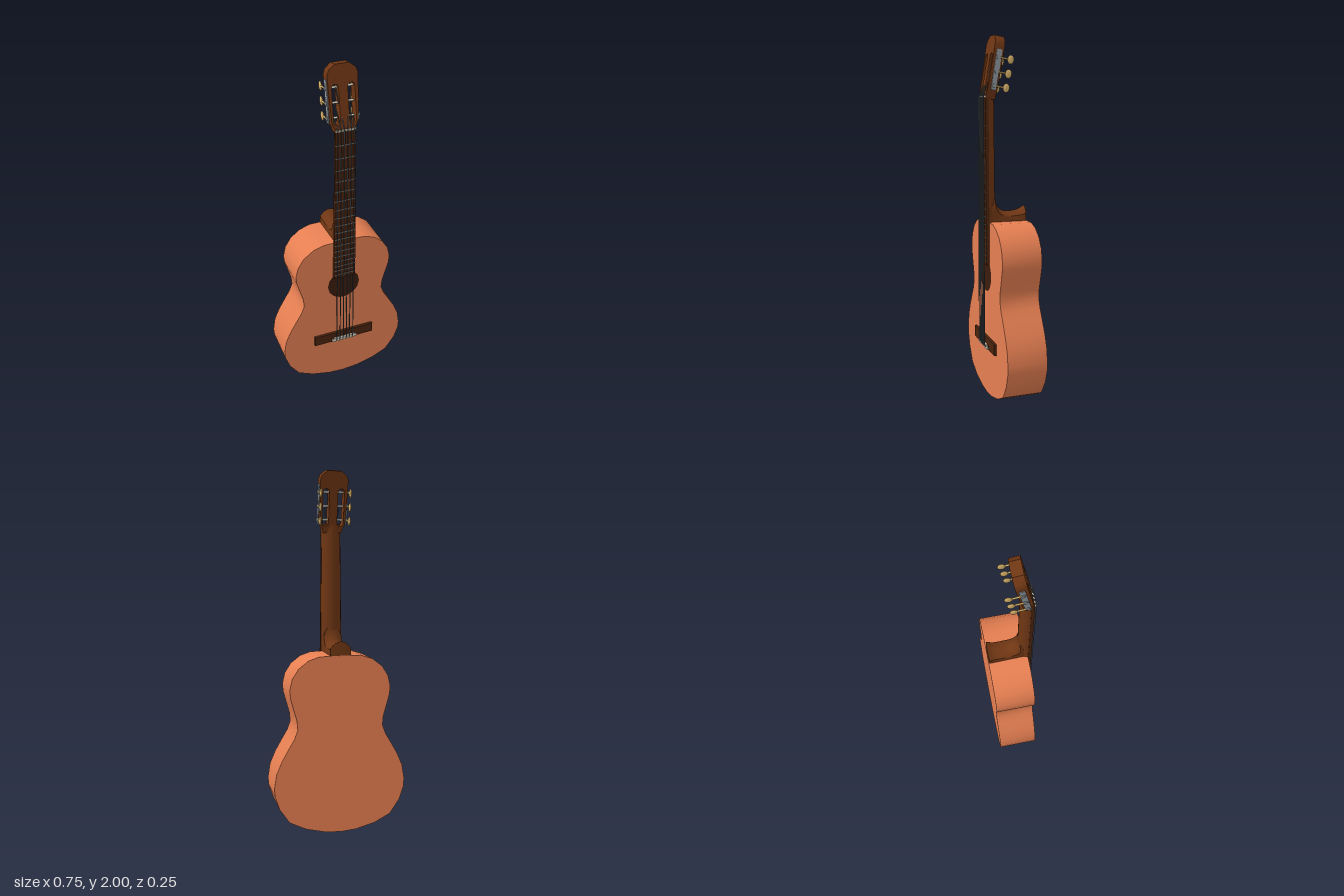
import * as THREE from 'three';
import { toCreasedNormals } from 'three/addons/utils/BufferGeometryUtils.js';

const paint = (color) => new THREE.MeshStandardMaterial({ color });
const V = (x, y, z) => new THREE.Vector3(x, y, z);

function add(parent, name, geometry, material, x = 0, y = 0, z = 0) {
  const mesh = new THREE.Mesh(geometry, material);
  mesh.name = name;
  mesh.position.set(x, y, z);
  parent.add(mesh);
  return mesh;
}

// Thin cylinder between two points
function rod(parent, name, a, b, radius, material, sides = 6) {
  const dir = b.clone().sub(a);
  const mesh = add(parent, name, new THREE.CylinderGeometry(radius, radius, dir.length(), sides), material);
  mesh.position.copy(a).add(b).multiplyScalar(0.5);
  mesh.quaternion.setFromUnitVectors(V(0, 1, 0), dir.normalize());
  return mesh;
}

// Shape symmetric about x = 0 from its right half, listed bottom to top
function mirroredShape(half) {
  const left = half.filter((p) => p[0] > 0).reverse().map(([x, y]) => [-x, y]);
  return new THREE.Shape([...half, ...left].map(([x, y]) => new THREE.Vector2(x, y)));
}

function slab(shape, depth, crease = 0.6) {
  return toCreasedNormals(new THREE.ExtrudeGeometry(shape, { depth, bevelEnabled: false, curveSegments: 6 }), crease);
}

export function createModel() {
  const guitar = new THREE.Group();
  guitar.name = 'guitar';
  const orange = paint(0xe67f52), brown = paint(0x6f3614), dark = paint(0x4a230d);
  const steel = paint(0x8f969c), wire = paint(0x555a60), ivory = paint(0xd8d4c0), gold = paint(0xd9b36a);

  // Body
  const outline = mirroredShape([
    [0, 0], [0.09, 0.007], [0.2, 0.035], [0.29, 0.08], [0.345, 0.16], [0.37, 0.235], [0.373, 0.28],
    [0.36, 0.36], [0.33, 0.43], [0.29, 0.5], [0.26, 0.55], [0.241, 0.6], [0.245, 0.65], [0.265, 0.72],
    [0.28, 0.775], [0.284, 0.82], [0.27, 0.88], [0.235, 0.935], [0.18, 0.977], [0.12, 0.997], [0, 1]]);
  add(guitar, 'body', slab(outline, 0.223), orange, 0, 0, -0.128);
  add(guitar, 'soundHole', new THREE.CircleGeometry(0.096, 14), paint(0x3a1c0c), 0, 0.697, 0.0965);

  // Bridge: two wings, a tie block and a saddle
  for (const s of [-1, 1]) {
    add(guitar, 'bridgeWing', new THREE.BoxGeometry(0.107, 0.064, 0.014), dark, s * 0.1315, 0.312, 0.102);
  }
  add(guitar, 'bridgeBlock', new THREE.BoxGeometry(0.156, 0.05, 0.016), dark, 0, 0.319, 0.102);
  add(guitar, 'tieBlock', new THREE.BoxGeometry(0.156, 0.02, 0.02), ivory, 0, 0.289, 0.105);
  add(guitar, 'saddle', new THREE.BoxGeometry(0.13, 0.008, 0.026), ivory, 0, 0.304, 0.107);

  // Neck with a rounded back
  const neck = new THREE.CylinderGeometry(0.053, 0.06, 0.71, 16, 1, false, Math.PI / 2, Math.PI);
  neck.scale(1, 1, 0.93);
  add(guitar, 'neck', neck, brown, 0, 1.355, 0.101);

  // Heel: side profile swept across, domed on top and flared toward the back
  const profile = new THREE.Shape();
  profile.moveTo(0.1, 0.995);
  profile.lineTo(0.1, 1.16);
  profile.lineTo(0.053, 1.16);
  profile.bezierCurveTo(0.045, 1.08, 0.02, 1.055, -0.02, 1.052);
  profile.quadraticCurveTo(-0.09, 1.046, -0.126, 1.077);
  profile.lineTo(-0.126, 0.995);
  const heel = new THREE.ExtrudeGeometry(profile, { depth: 2, steps: 8, bevelEnabled: false, curveSegments: 8 });
  heel.translate(0, 0, -1).rotateY(-Math.PI / 2);
  const p = heel.attributes.position;
  for (let i = 0; i < p.count; i++) {
    const t = p.getX(i), y = p.getY(i), z = p.getZ(i);
    const flare = 0.051 + 0.006 * THREE.MathUtils.smoothstep(-z, 0.08, 0.126);
    p.setXYZ(i, t * flare, y - Math.max(0, y - 1) * 0.45 * t * t, z + (z < -0.1 ? 0.004 * t * t : 0));
  }
  add(guitar, 'heel', toCreasedNormals(heel, 0.7), brown);

  // Fingerboard, nut and frets
  const board = mirroredShape([[0.064, 0.76], [0.054, 1.675]]);
  add(guitar, 'fingerboard', slab(board, 0.018), dark, 0, 0, 0.095);
  add(guitar, 'nut', new THREE.BoxGeometry(0.108, 0.01, 0.02), ivory, 0, 1.678, 0.109);
  for (let n = 1; n <= 18; n++) {
    const y = 1.675 - 1.375 * (1 - 2 ** (-n / 12));
    const width = THREE.MathUtils.mapLinear(y, 0.76, 1.675, 0.126, 0.107);
    add(guitar, 'fret', new THREE.BoxGeometry(width, 0.004, 0.004), steel, 0, y, 0.114);
  }

  // Slotted head, leaning back from the nut
  const head = new THREE.Group();
  head.name = 'head';
  head.position.set(0, 1.68, 0.112);
  head.rotation.x = -0.17;
  guitar.add(head);
  const headShape = mirroredShape([
    [0.053, -0.01], [0.056, 0.01], [0.07, 0.04], [0.073, 0.1], [0.077, 0.2], [0.079, 0.275], [0.07, 0.3], [0.038, 0.325]]);
  for (const s of [-1, 1]) {
    const slot = new THREE.Path();
    slot.moveTo(s * 0.042 - 0.018, 0.045);
    slot.absarc(s * 0.042, 0.045, 0.018, Math.PI, Math.PI * 2, false);
    slot.absarc(s * 0.042, 0.212, 0.018, 0, Math.PI, false);
    headShape.holes.push(slot);
  }
  add(head, 'headstock', slab(headShape, 0.055), brown, 0, 0, -0.055);

  // Tuners: side plate, rollers across the slots, stems and oval buttons
  const rows = [0.06, 0.135, 0.21];
  for (const s of [-1, 1]) {
    add(head, 'tunerPlate', new THREE.BoxGeometry(0.005, 0.215, 0.03), steel, s * 0.079, 0.145, -0.03);
    for (const y of rows) {
      rod(head, 'roller', V(s * 0.02, y, -0.03), V(s * 0.078, y, -0.03), 0.006, ivory, 10);
      rod(head, 'tunerGear', V(s * 0.078, y, -0.03), V(s * 0.087, y, -0.03), 0.011, steel, 10);
      rod(head, 'tunerStem', V(s * 0.082, y, -0.03), V(s * 0.082, y, -0.085), 0.005, gold, 8);
      const button = new THREE.SphereGeometry(1, 12, 8).scale(0.007, 0.024, 0.019);
      add(head, 'tunerButton', button, gold, s * 0.082, y, -0.098);
    }
  }

  // Strings: bridge to nut, then on to the rollers
  for (let i = 0; i < 6; i++) {
    const t = (i - 2.5) / 2.5, s = Math.sign(t);
    const k = Math.round(Math.abs(t) * 2.5 - 0.5); // 0 inner, 2 outer
    rod(guitar, 'string', V(t * 0.051, 0.3, 0.122), V(t * 0.044, 1.68, 0.12), 0.0028, wire);
    rod(head, 'stringEnd', V(t * 0.044, 0, 0.008), V(s * (0.031 + k * 0.011), rows[2 - k], -0.024), 0.0028, wire);
    rod(guitar, 'stringTie', V(t * 0.051, 0.3, 0.122), V(t * 0.051, 0.281, 0.108), 0.0028, wire);
  }
  return guitar;
}
